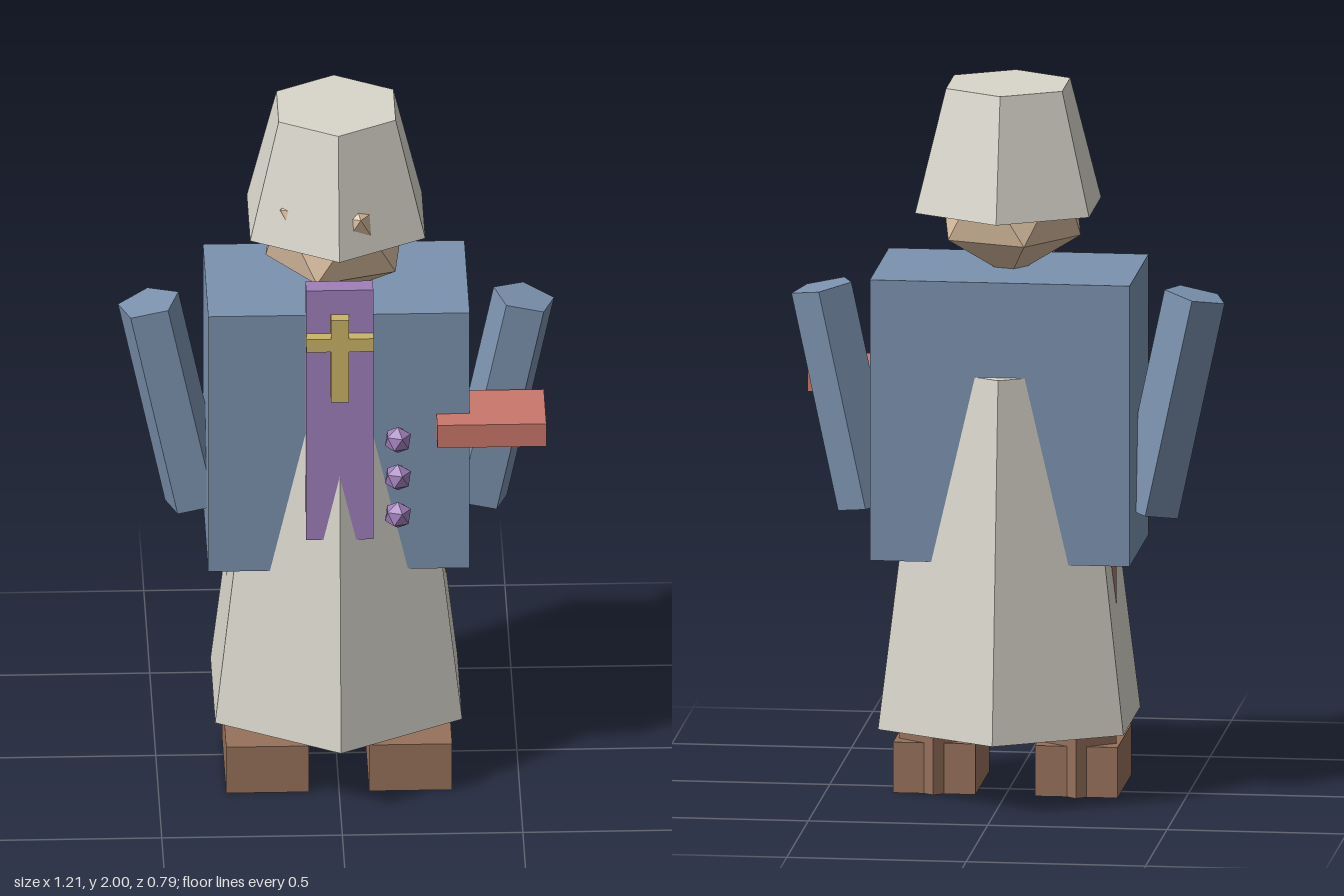
import * as THREE from 'three';
import { ConvexGeometry } from 'three/addons/geometries/ConvexGeometry.js';

const material = (name, color) => {
  const m = new THREE.MeshStandardMaterial({ color });
  m.name = name;
  return m;
};

// Faceted prism or frustum with hard-edged sides
function prism(rTop, rBottom, height, sides, turn = 0) {
  const g = new THREE.CylinderGeometry(rTop, rBottom, height, sides, 1, false, turn).toNonIndexed();
  g.computeVertexNormals();
  return g;
}

// Icosahedron standing on one corner, with a lower ring corner pointing to -x
function uprightIcosahedron(r) {
  const pts = [new THREE.Vector3(0, r, 0), new THREE.Vector3(0, -r, 0)];
  const ring = r * 2 / Math.sqrt(5), h = r / Math.sqrt(5);
  for (let i = 0; i < 5; i++) {
    const a = i * Math.PI * 2 / 5;
    const x = ring * Math.cos(a), z = ring * Math.sin(a);
    pts.push(new THREE.Vector3(x, h, z), new THREE.Vector3(-x, -h, -z));
  }
  return new ConvexGeometry(pts);
}

export function createModel() {
  const model = new THREE.Group();
  const cloth = material('off-white cloth', 0xd9d6cb);
  const blue = material('blue coat', 0x7b92ae);
  const purple = material('purple', 0xa07fbb);
  const gold = material('gold', 0xcbb566);
  const red = material('red cover', 0xca776b);
  const brown = material('brown leather', 0x96715b);
  const skin = material('skin', 0xdcc0a2);

  const add = (name, geometry, mat, x, y, z) => {
    const mesh = new THREE.Mesh(geometry, mat);
    mesh.name = name;
    mesh.position.set(x, y, z);
    model.add(mesh);
    return mesh;
  };
  // Box given by its extents on each axis
  const box = (name, mat, [x0, x1], [y0, y1], [z0, z1]) =>
    add(name, new THREE.BoxGeometry(x1 - x0, y1 - y0, z1 - z0), mat,
      (x0 + x1) / 2, (y0 + y1) / 2, (z0 + z1) / 2);

  // Robe, coat, head and hat
  add('robe', prism(0.26, 0.395, 1.007, 6), cloth, 0, 0.7035, 0);
  box('coat', blue, [-0.362, 0.362], [0.682, 1.475], [-0.22, 0.22]);
  add('head', uprightIcosahedron(0.22), skin, 0, 1.664, 0.024);
  add('hat', prism(0.187, 0.28, 0.345, 6), cloth, 0, 1.8275, -0.025);

  // Mirrored arms, legs and boots
  for (const [side, s] of [['left', 1], ['right', -1]]) {
    const arm = add(side + 'Arm', prism(0.09, 0.09, 0.625, 5, Math.PI), blue, s * 0.455, 1.104, 0);
    arm.rotation.z = -s * 0.21;
    add(side + 'Leg', prism(0.11, 0.11, 0.72, 5, Math.PI), brown, s * 0.199, 0.36, 0);
    const boot = box(side + 'Boot', brown, [-0.115, 0.115], [0, 0.143], [-0.09, 0.235]);
    boot.position.x = s * 0.198;
  }

  // Stole with a gold cross
  box('stole', purple, [-0.093, 0.093], [0.81, 1.585], [0.23, 0.287]);
  box('crossUpright', gold, [-0.025, 0.025], [1.255, 1.51], [0.287, 0.323]);
  box('crossBar', gold, [-0.093, 0.093], [1.412, 1.452], [0.287, 0.323]);

  // Beads beside the stole
  for (const y of [1.102, 0.986, 0.869])
    add('bead', uprightIcosahedron(0.04), purple, 0.162, y, 0.257);

  // Book held at the left
  box('book', red, [0.27, 0.572], [1.092, 1.162], [0.08, 0.29]);

  return model;
}
